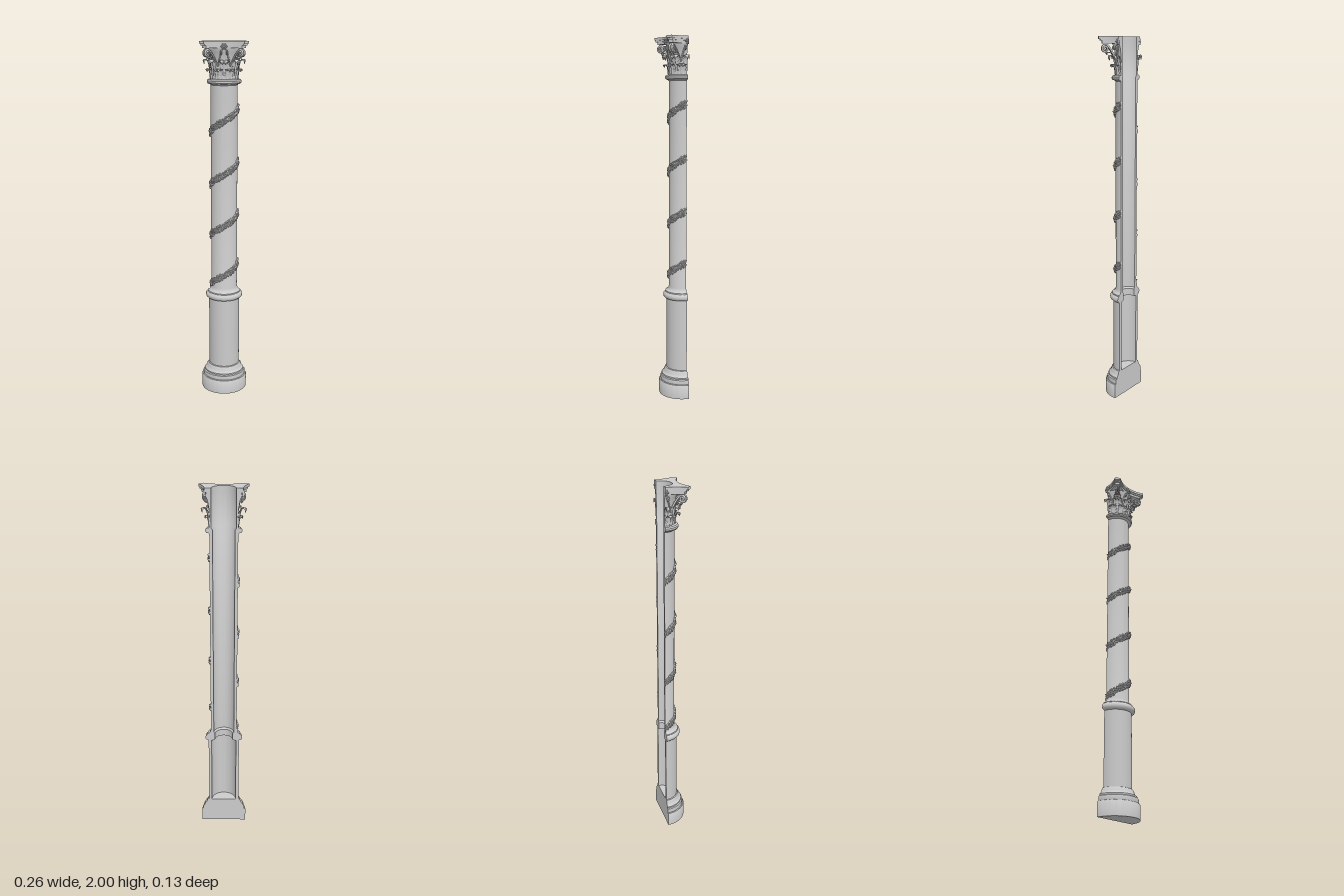
import * as THREE from 'three';
import { mergeGeometries, toCreasedNormals } from 'three/addons/utils/BufferGeometryUtils.js';

const AXIS_Z = -0.065; // the cut plane passes through the column axis
const material = new THREE.MeshStandardMaterial({ color: 0xcccccc });
const thin = new THREE.MeshStandardMaterial({ color: 0xcccccc, side: THREE.DoubleSide });

// point at an angle around the axis (0 = front), radius and height
const around = (phi, r, y) => new THREE.Vector3(r * Math.sin(phi), y, r * Math.cos(phi));

function add(parent, name, geometry, mat = material) {
  const mesh = new THREE.Mesh(geometry, mat);
  mesh.name = name;
  parent.add(mesh);
  return mesh;
}

// keeps ornament on the front side of the cut plane
function clip(geometry) {
  const p = geometry.attributes.position;
  for (let i = 0; i < p.count; i++) if (p.getZ(i) < 0) p.setZ(i, 0);
  geometry.computeVertexNormals();
  return geometry;
}

// acanthus leaf: a plane bent up the bell, with lobed edges and a curling tip
function acanthus(phi, r0, y0, h, w, reach) {
  const path = new THREE.CatmullRomCurve3([
    [0, 0], [0.08, 0.4], [0.28, 0.8], [0.68, 1], [0.98, 0.95], [0.95, 0.8],
  ].map(([r, y]) => new THREE.Vector3(r0 + r * reach, y0 + y * h, 0)));
  const geo = new THREE.PlaneGeometry(2, 1, 8, 28);
  const p = geo.attributes.position;
  for (let i = 0; i < p.count; i++) {
    const u = p.getX(i), t = p.getY(i) + 0.5;
    const c = path.getPoint(t);
    const lobe = 0.72 + 0.28 * Math.abs(Math.sin(t * Math.PI * 4.5));
    const half = w * lobe * (t < 0.6 ? 1 : 1 - 0.75 * (t - 0.6) / 0.4);
    const ridge = 0.004 * Math.cos(u * Math.PI * 2.5) - 0.003 * u * u;
    const v = around(phi + u * half / r0, c.x + ridge, c.y - 0.12 * h * u * u * t);
    p.setXYZ(i, v.x, v.y, v.z);
  }
  return clip(geo);
}

// scroll that rises from the bell and winds up under the abacus
function scroll(phi, phiEnd, r0, y0, rEye, yEye, size, thick) {
  const pts = [around(phi, r0, y0), around((phi + phiEnd) / 2, r0 + 0.25 * (rEye - r0), y0 + 0.6 * (yEye - y0))];
  for (let i = 0; i <= 22; i++) {
    const a = Math.PI * 0.75 - i / 22 * Math.PI * 3.4;
    const s = size * (1 - 0.8 * i / 22);
    pts.push(around(phiEnd, rEye + s * Math.cos(a), yEye + s * Math.sin(a)));
  }
  return clip(new THREE.TubeGeometry(new THREE.CatmullRomCurve3(pts), 70, thick, 7));
}

// half plan of the concave-sided abacus with cut corners and a round opening
function abacusLayer(scale, top, depth) {
  const k = (v) => v * scale, s = new THREE.Shape();
  s.moveTo(0.063, 0);
  s.lineTo(k(0.097), 0);
  s.quadraticCurveTo(k(0.097), k(0.0515), k(0.128), k(0.103));
  s.lineTo(k(0.105), k(0.125));
  s.quadraticCurveTo(0, k(0.065), k(-0.105), k(0.125));
  s.lineTo(k(-0.128), k(0.103));
  s.quadraticCurveTo(k(-0.097), k(0.0515), k(-0.097), 0);
  s.lineTo(-0.063, 0);
  s.absarc(0, 0, 0.063, Math.PI, 0, true);
  return new THREE.ExtrudeGeometry(s, { depth, bevelEnabled: false, curveSegments: 20 })
    .rotateX(Math.PI / 2).translate(0, top, 0);
}

// small solid blob lying on the shaft: offset (dx, dy) around a point, tilted
function blob(phi, r, y, dx, dy, size, tilt) {
  return new THREE.IcosahedronGeometry(1, 1).scale(...size).rotateZ(tilt)
    .translate(dx, dy, r).rotateY(phi).translate(0, y, 0);
}

// one half turn of the flower and leaf garland
function garland(y0) {
  const parts = [], steps = 15, rise = 0.045, R = 0.073;
  for (let i = 0; i < steps; i++) {
    const phi = -1.48 + 2.96 * i / (steps - 1), y = y0 + rise * phi;
    if (i % 3 === 1) { // five-petalled flower
      for (let k = 0; k < 5; k++) {
        const a = k * Math.PI * 0.4 + i;
        parts.push(blob(phi, R + 0.007, y, 0.009 * Math.cos(a), 0.009 * Math.sin(a), [0.007, 0.0048, 0.005], a));
      }
      parts.push(blob(phi, R + 0.011, y, 0, 0, [0.0045, 0.0045, 0.005], 0));
    }
    for (const side of [-1, 1]) { // leaf pair and berries along the stem
      const lean = 0.6 + 0.35 * Math.sin(i * 2.3 + side);
      const reach = 0.016 + 0.004 * Math.sin(i * 1.7 * side);
      parts.push(blob(phi, R + 0.003, y, 0.006 * side, reach * side, [0.0055, 0.013, 0.006], -lean));
      parts.push(blob(phi, R + 0.006, y, -0.007 * side, 0.01 * side, [0.004, 0.004, 0.005], 0));
    }
  }
  const stem = [];
  for (let i = 0; i <= 30; i++) {
    const phi = -1.54 + 3.08 * i / 30;
    stem.push(around(phi, R + 0.003, y0 + rise * phi + 0.005 * Math.sin(i * 1.3)));
  }
  const tube = new THREE.TubeGeometry(new THREE.CatmullRomCurve3(stem), 60, 0.005, 6).toNonIndexed();
  return clip(mergeGeometries([tube, ...parts]));
}

export function createModel() {
  const root = new THREE.Group();
  root.name = 'halfColumn';
  const column = new THREE.Group();
  column.name = 'column';
  column.position.z = AXIS_Z;
  root.add(column);

  // wall section: up the outside, over the top, down the hollow inside
  const profile = [
    [0, 0], [0.13, 0], [0.13, 0.075], [0.127, 0.08], [0.121, 0.082], [0.123, 0.092], [0.12, 0.106],
    [0.114, 0.11], [0.114, 0.118], [0.107, 0.123], [0.1, 0.134], [0.098, 0.145], [0.093, 0.152], [0.087, 0.154],
    [0.087, 0.562], [0.097, 0.565], [0.103, 0.571], [0.105, 0.581], [0.103, 0.591], [0.097, 0.597],
    [0.094, 0.6], [0.093, 0.606], [0.083, 0.61], [0.077, 0.618], [0.073, 0.63],
    [0.073, 1.77], [0.078, 1.775], [0.088, 1.777], [0.093, 1.784], [0.093, 1.793], [0.088, 1.8], [0.074, 1.803],
    [0.071, 1.85], [0.074, 1.9], [0.081, 1.94], [0.09, 1.96], [0.09, 1.972],
    [0.063, 1.972], [0.063, 1.8], [0.057, 1.79], [0.057, 0.615], [0.05, 0.605],
    [0.05, 0.565], [0.07, 0.56], [0.07, 0.15], [0, 0.15],
  ].map(([x, y]) => new THREE.Vector2(x, y));
  add(column, 'columnWall', toCreasedNormals(
    new THREE.LatheGeometry(profile, 48, -Math.PI / 2, Math.PI), 0.6));

  // flat cut face at the back
  const mirrored = profile.slice(1, -1).reverse().map((p) => new THREE.Vector2(-p.x, p.y));
  add(column, 'cutFace', new THREE.ShapeGeometry(new THREE.Shape([...profile, ...mirrored])).rotateY(Math.PI));

  // stepped abacus
  const capital = new THREE.Group();
  capital.name = 'capital';
  column.add(capital);
  [[1, 2, 0.014], [0.95, 1.986, 0.009], [0.89, 1.977, 0.014]].forEach(([s, y, d]) =>
    add(capital, 'abacus', abacusLayer(s, y, d)));

  // two rows of leaves
  const eighth = Math.PI / 4;
  for (let i = -2; i <= 2; i++) {
    add(capital, 'upperLeaf', acanthus(i * eighth, 0.074, 1.82, 0.085, 0.023, 0.036), thin);
    if (i < 2) add(capital, 'lowerLeaf', acanthus((i + 0.5) * eighth, 0.075, 1.802, 0.056, 0.025, 0.025), thin);
  }

  // corner volutes, with a leaf below each, and inner curls
  for (const corner of [-eighth, eighth]) {
    for (const side of [-1, 1]) {
      add(capital, 'cornerVolute', scroll(corner + side * 0.3, corner + side * 0.045, 0.076, 1.87, 0.128, 1.937, 0.02, 0.0055));
      add(capital, 'innerCurl', scroll(corner + side * 0.34, corner + side * 0.62, 0.076, 1.87, 0.09, 1.94, 0.011, 0.004));
    }
    add(capital, 'cornerLeaf', acanthus(corner, 0.078, 1.87, 0.05, 0.016, 0.045), thin);
  }

  // flower at the middle of each abacus side
  for (const phi of [-Math.PI / 2, 0, Math.PI / 2]) {
    const petals = [blob(phi, 0.1, 1.972, 0, 0, [0.006, 0.006, 0.006], 0)];
    for (let k = 0; k < 6; k++) {
      const a = k * Math.PI / 3;
      petals.push(blob(phi, 0.096, 1.972, 0.01 * Math.cos(a), 0.01 * Math.sin(a), [0.008, 0.005, 0.006], a));
    }
    add(capital, 'abacusFlower', clip(mergeGeometries(petals)));
  }

  // garlands climbing the shaft
  for (let i = 0; i < 4; i++) add(column, 'garland', garland(0.71 + i * 0.291));
  return root;
}
